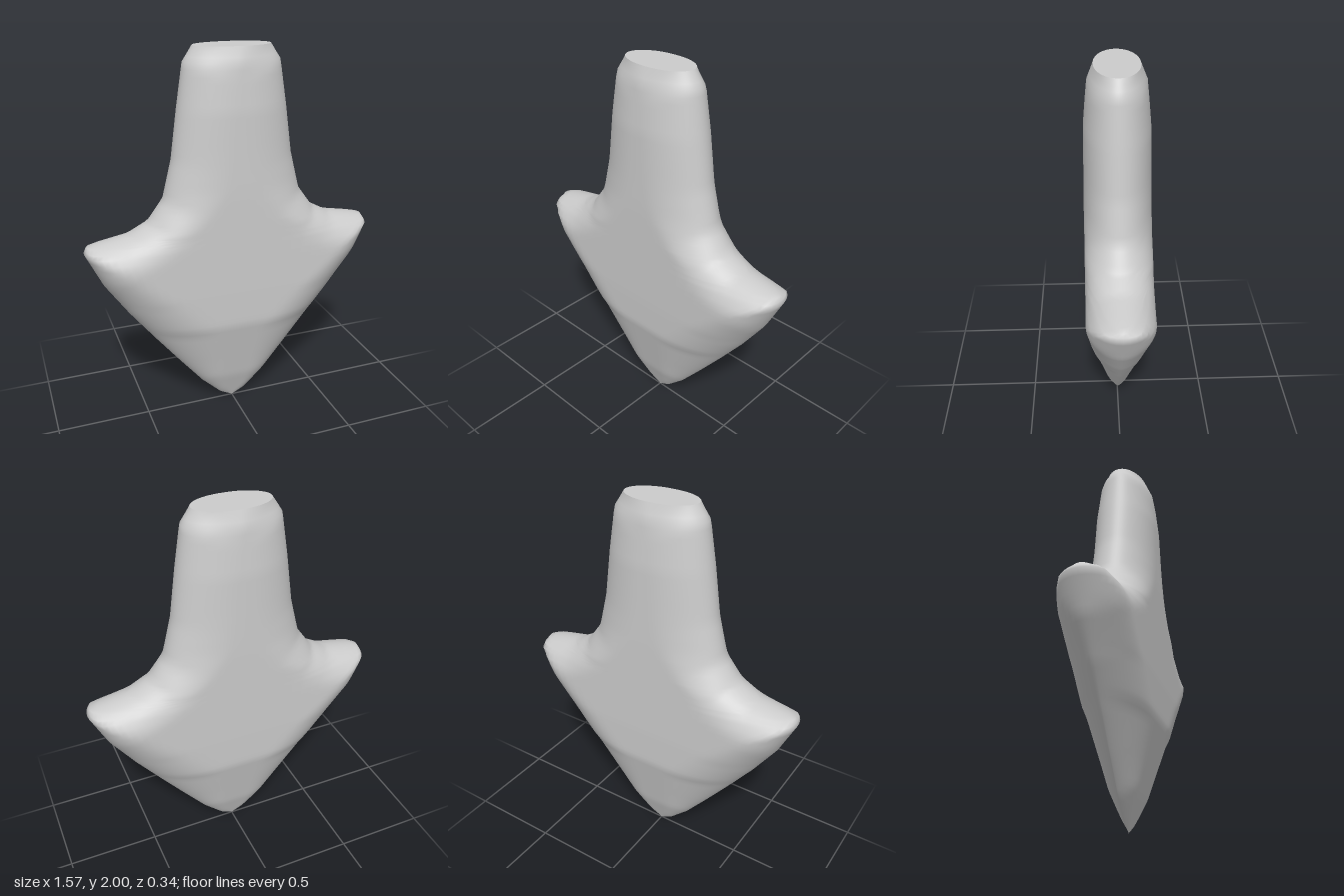
import * as THREE from 'three';

// Right half of the outline (x, y), from the bottom tip up to the cut neck
const outline = [
  [0, 0], [0.07, 0.035], [0.18, 0.14], [0.31, 0.3], [0.44, 0.465], [0.58, 0.65],
  [0.7, 0.83], [0.785, 1.01], [0.768, 1.045], [0.7, 1.06], [0.55, 1.087], [0.45, 1.14],
  [0.37, 1.25], [0.32, 1.45], [0.285, 1.7], [0.25, 1.925], [0.2, 2],
].map(([x, y]) => new THREE.Vector2(x, y));

// Keyed by height: half thickness, width of the rounded rim, and roundness of the rim
const thickness = [[0, 0], [0.18, 0.07], [0.55, 0.165], [0.75, 0.17], [1.3, 0.17], [1.7, 0.163], [1.925, 0.143], [2, 0.11]];
const rim = [[0, 0.01], [0.1, 0.06], [0.3, 0.18], [0.5, 0.29], [0.7, 0.26], [0.9, 0.17], [1.1, 0.18], [1.3, 0.28], [1.5, 0.28], [1.925, 0.24], [2, 0.19]];
const roundness = [[0, 0.75], [0.5, 0.65], [0.9, 0.5], [2, 0.5]];

function lookup(table, y) {
  let i = 1;
  while (i < table.length - 1 && table[i][0] < y) i++;
  const [y0, v0] = table[i - 1], [y1, v1] = table[i];
  return THREE.MathUtils.lerp(v0, v1, THREE.MathUtils.clamp((y - y0) / (y1 - y0), 0, 1));
}

// Shortest distance from a point to the outline
function edgeDistance(x, y) {
  const p = new THREE.Vector2(Math.abs(x), y);
  let best = Infinity;
  for (let i = 1; i < outline.length; i++) {
    const a = outline[i - 1], d = outline[i].clone().sub(a);
    const t = THREE.MathUtils.clamp(p.clone().sub(a).dot(d) / d.lengthSq(), 0, 1);
    best = Math.min(best, p.distanceTo(a.clone().addScaledVector(d, t)));
  }
  return best;
}

// Half depth of the body: thickest inside, rounded off towards the outline
function depth(x, y) {
  const u = Math.min(1, edgeDistance(x, y) / lookup(rim, y));
  return lookup(thickness, y) * Math.pow(Math.max(0, 1 - (1 - u) ** 2), lookup(roundness, y));
}

function ring(w, y, sides) {
  const points = [];
  for (let j = 0; j < sides; j++) {
    const t = (j / sides) * Math.PI * 2;
    const x = w * Math.cos(t);
    const onEdge = j === 0 || j === sides / 2;
    points.push(x, y, onEdge ? 0 : Math.sign(Math.sin(t)) * depth(x, y));
  }
  return points;
}

function makeGeometry(positions, index) {
  const g = new THREE.BufferGeometry();
  g.setAttribute('position', new THREE.Float32BufferAttribute(positions, 3));
  g.setIndex(index);
  g.computeVertexNormals();
  return g;
}

export function createModel() {
  const group = new THREE.Group();
  const material = new THREE.MeshStandardMaterial({ color: 0xcccccc });
  const sides = 72;

  // Rows along the outline, split into short steps
  const rows = [outline[0]];
  for (let i = 1; i < outline.length; i++) {
    const a = outline[i - 1], b = outline[i];
    const steps = Math.max(2, Math.ceil(a.distanceTo(b) / 0.035));
    for (let k = 1; k <= steps; k++) rows.push(a.clone().lerp(b, k / steps));
  }

  // Body with pointed base, two shoulder arms and a neck
  const positions = [], index = [];
  rows.forEach((r, i) => {
    positions.push(...ring(r.x, r.y, sides));
    if (i === 0) return;
    for (let j = 0; j < sides; j++) {
      const n = (j + 1) % sides;
      const a = (i - 1) * sides + j, b = (i - 1) * sides + n;
      const c = i * sides + j, d = i * sides + n;
      index.push(a, c, b, b, c, d);
    }
  });
  const body = new THREE.Mesh(makeGeometry(positions, index), material);
  body.name = 'body';
  group.add(body);

  // Flat cap on the cut neck
  const top = rows[rows.length - 1];
  const capPositions = [...ring(top.x, top.y, sides), 0, top.y, 0];
  const capIndex = [];
  for (let j = 0; j < sides; j++) capIndex.push(sides, (j + 1) % sides, j);
  const cap = new THREE.Mesh(makeGeometry(capPositions, capIndex), material);
  cap.name = 'neckCap';
  group.add(cap);

  return group;
}
